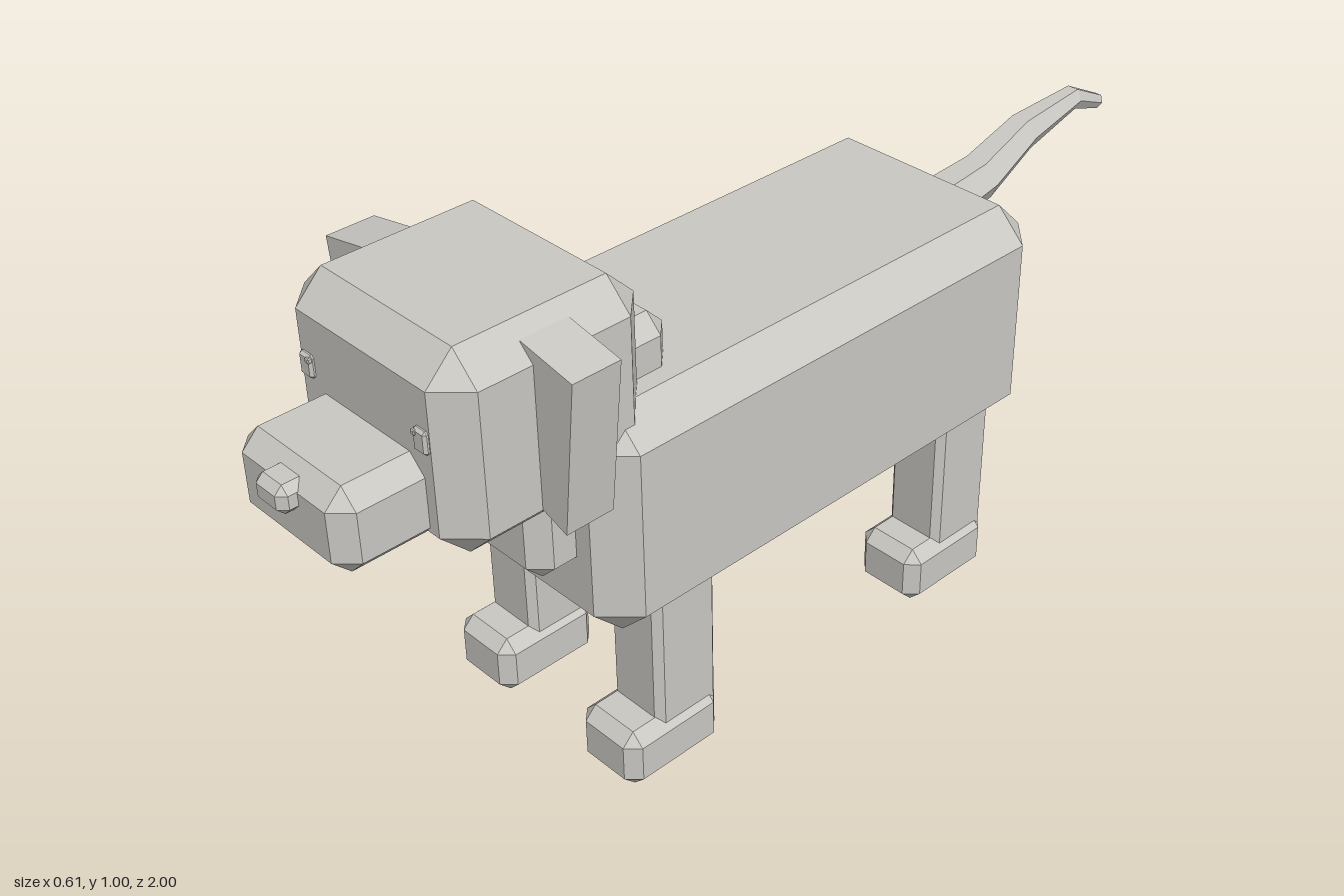
import * as THREE from 'three';
import { ConvexGeometry } from 'three/addons/geometries/ConvexGeometry.js';

const clay = new THREE.MeshStandardMaterial({ color: 0xcac8c3 });
clay.name = 'warmGrey';

function add(parent, name, geometry) {
  const mesh = new THREE.Mesh(geometry, clay);
  mesh.name = name;
  parent.add(mesh);
  return mesh;
}

// Box with all edges cut at 45 degrees, given by its [min, max] ranges
function chamferBox([x0, x1], [y0, y1], [z0, z1], c) {
  const half = [(x1 - x0) / 2, (y1 - y0) / 2, (z1 - z0) / 2];
  const points = [];
  for (const sx of [-1, 1]) for (const sy of [-1, 1]) for (const sz of [-1, 1]) {
    for (let axis = 0; axis < 3; axis++) {
      const p = half.map((h, i) => (i === axis ? h : h - c));
      points.push(new THREE.Vector3(sx * p[0], sy * p[1], sz * p[2]));
    }
  }
  return new ConvexGeometry(points).translate((x0 + x1) / 2, (y0 + y1) / 2, (z0 + z1) / 2);
}

// Tapered six-sided tube through rings of [z, y, radius]
function tailGeometry(rings) {
  const sides = 6;
  const loops = rings.map(([z, y, r], i) => {
    const a = rings[Math.max(i - 1, 0)];
    const b = rings[Math.min(i + 1, rings.length - 1)];
    const tangent = new THREE.Vector2(b[0] - a[0], b[1] - a[1]).normalize();
    return Array.from({ length: sides }, (_, k) => {
      const t = (k / sides) * Math.PI * 2;
      const up = Math.sin(t) * r;
      return [Math.cos(t) * r, y - tangent.x * up, z + tangent.y * up];
    });
  });
  const out = [];
  for (let i = 0; i < loops.length - 1; i++) {
    for (let k = 0; k < sides; k++) {
      const n = (k + 1) % sides;
      const [a, b, c, d] = [loops[i][k], loops[i][n], loops[i + 1][n], loops[i + 1][k]];
      out.push(...a, ...c, ...b, ...a, ...d, ...c);
    }
  }
  // End caps
  const first = loops[0], last = loops[loops.length - 1];
  for (let k = 1; k < sides - 1; k++) {
    out.push(...first[0], ...first[k], ...first[k + 1]);
    out.push(...last[0], ...last[k + 1], ...last[k]);
  }
  const g = new THREE.BufferGeometry();
  g.setAttribute('position', new THREE.Float32BufferAttribute(out, 3));
  // Make the winding face outward whichever way the rings run
  const p = g.attributes.position;
  const v = (i) => new THREE.Vector3().fromBufferAttribute(p, i);
  const normal = v(1).sub(v(0)).cross(v(2).sub(v(0)));
  const outward = v(0).sub(new THREE.Vector3(0, rings[0][1], rings[0][0]));
  if (normal.dot(outward) < 0) {
    for (let i = 0; i < p.count; i += 3) {
      const b = v(i + 1), c = v(i + 2);
      p.setXYZ(i + 1, c.x, c.y, c.z);
      p.setXYZ(i + 2, b.x, b.y, b.z);
    }
  }
  g.computeVertexNormals();
  return g;
}

export function createModel() {
  const dog = new THREE.Group();
  dog.name = 'dog';

  // Trunk, neck and head
  add(dog, 'body', chamferBox([-0.25, 0.25], [0.325, 0.773], [-0.517, 0.545], 0.061));
  add(dog, 'neck', chamferBox([-0.153, 0.153], [0.459, 0.865], [0.315, 0.625], 0.033));
  const head = new THREE.Group();
  head.name = 'head';
  dog.add(head);
  add(head, 'skull', chamferBox([-0.216, 0.216], [0.626, 1.0], [0.41, 0.813], 0.054));
  add(head, 'muzzle', chamferBox([-0.14, 0.14], [0.656, 0.815], [0.7, 0.97], 0.033));
  add(head, 'nose', chamferBox([-0.038, 0.038], [0.745, 0.798], [0.94, 1.0], 0.014));

  for (const side of [-1, 1]) {
    const label = side > 0 ? 'left' : 'right';
    const span = (inner, outer) => (side > 0 ? [inner, outer] : [-outer, -inner]);

    // Eye with a small glint
    add(head, label + 'Eye', chamferBox(span(0.128, 0.16), [0.832, 0.875], [0.79, 0.821], 0.005));
    add(head, label + 'EyeGlint', chamferBox(span(0.129, 0.139), [0.862, 0.872], [0.81, 0.824], 0.002));

    // Ear: slab that narrows downward and splays outward at the top
    const earOutline = [[0.304, 0.953], [0.271, 0.661], [0.205, 0.685], [0.15, 0.983]];
    const earPoints = [];
    for (const [x, y] of earOutline) for (const z of [0.561, 0.656]) {
      earPoints.push(new THREE.Vector3(side * x, y, z));
    }
    add(head, label + 'Ear', new ConvexGeometry(earPoints));

    // Legs and paws
    for (const [end, back] of [['Front', 0.305], ['Back', -0.418]]) {
      add(dog, label + end + 'Leg',
        chamferBox(span(0.109, 0.234), [0.04, 0.45], [back, back + 0.142], 0.014));
      add(dog, label + end + 'Paw',
        chamferBox(span(0.099, 0.245), [0, 0.12], [back, back + 0.217], 0.024));
    }
  }

  // Tail, rooted in the rump
  add(dog, 'tail', tailGeometry([
    [-0.5, 0.677, 0.055], [-0.63, 0.695, 0.048], [-0.755, 0.748, 0.038],
    [-0.91, 0.77, 0.024], [-0.994, 0.734, 0.016],
  ]));

  return dog;
}
